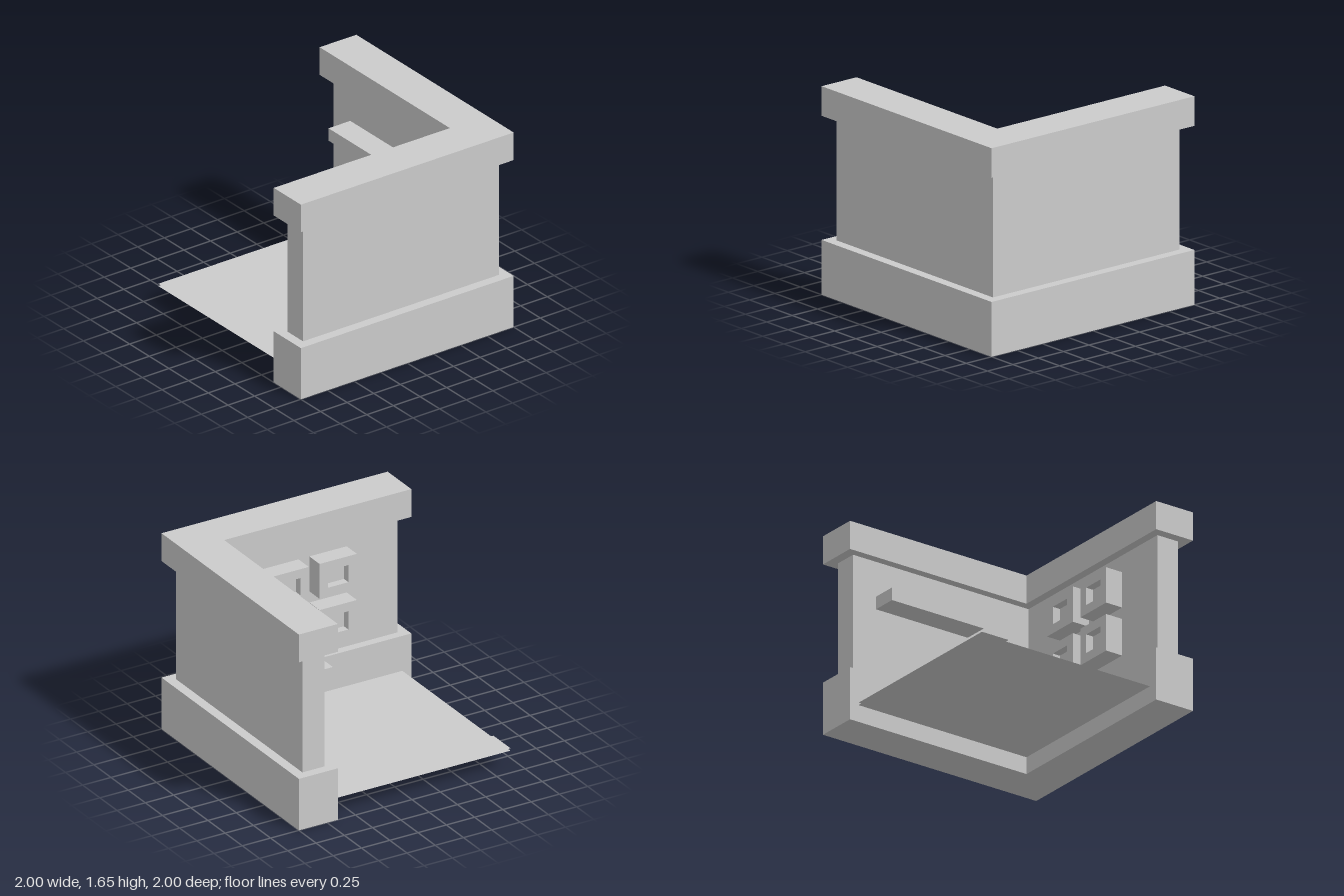
import * as THREE from 'three';

const material = new THREE.MeshStandardMaterial({ color: 0xcccccc, flatShading: true });
const sheetMaterial = new THREE.MeshStandardMaterial({ color: 0xcccccc, side: THREE.DoubleSide });

function addMesh(parent, name, geometry, mat = material) {
  const mesh = new THREE.Mesh(geometry, mat);
  mesh.name = name;
  parent.add(mesh);
  return mesh;
}

// L-shaped course running along the back and the +x side
function corner(outer, inner, y0, y1) {
  const shape = new THREE.Shape([
    [-outer, outer], [-outer, inner], [inner, inner],
    [inner, -outer], [outer, -outer], [outer, outer],
  ].map(([x, y]) => new THREE.Vector2(x, y)));
  return new THREE.ExtrudeGeometry(shape, { depth: y1 - y0, bevelEnabled: false })
    .rotateX(-Math.PI / 2).translate(0, y0, 0);
}

// Flat sheet between x and z limits at height y
function sheet(x0, x1, z0, z1, y) {
  return new THREE.PlaneGeometry(x1 - x0, z1 - z0)
    .rotateX(-Math.PI / 2).translate((x0 + x1) / 2, y, (z0 + z1) / 2);
}

// Box with a recessed opening on its -x face, standing out from the side wall
function wallNiche(z0, z1, y0, y1) {
  const group = new THREE.Group();
  const w = z1 - z0, h = y1 - y0, border = 0.075, recess = 0.065;
  const front = 0.575, back = 0.735;
  const rect = (Type, inset) => new Type([
    new THREE.Vector2(-w / 2 + inset, -h / 2 + inset), new THREE.Vector2(w / 2 - inset, -h / 2 + inset),
    new THREE.Vector2(w / 2 - inset, h / 2 - inset), new THREE.Vector2(-w / 2 + inset, h / 2 - inset),
  ]);
  const frame = rect(THREE.Shape, 0);
  frame.holes.push(rect(THREE.Path, border));
  addMesh(group, 'nicheFrame', new THREE.ExtrudeGeometry(frame, { depth: recess, bevelEnabled: false })
    .rotateY(Math.PI / 2).translate(front, 0, 0));
  const depth = back - front - recess;
  addMesh(group, 'nicheBack', new THREE.BoxGeometry(depth, h, w).translate(back - depth / 2, 0, 0));
  group.position.set(0, (y0 + y1) / 2, (z0 + z1) / 2);
  return group;
}

export function createModel() {
  const model = new THREE.Group();
  model.name = 'cornerRoom';

  // Walls with a wide base and cap
  addMesh(model, 'wallBase', corner(1, 0.655, 0, 0.435));
  addMesh(model, 'walls', corner(0.92, 0.725, 0.435, 1.42));
  addMesh(model, 'wallCap', corner(1, 0.655, 1.42, 1.655));

  // Thin floor and the strip laid along its open edge
  addMesh(model, 'floor', sheet(-0.92, 0.92, -0.92, 0.92, 0.14), sheetMaterial);
  addMesh(model, 'floorStrip', sheet(-0.92, -0.67, -0.92, 0.92, 0.16), sheetMaterial);

  // Shelf on the back wall
  addMesh(model, 'shelf', new THREE.BoxGeometry(0.86, 0.105, 0.215)
    .translate(-0.275, 1.077, -0.6275));

  // Two by two niches on the side wall
  for (const [z0, z1, bottom] of [[-0.285, 0.045, 0.575], [0.14, 0.47, 0.585]]) {
    for (const [y0, y1] of [[bottom, 0.89], [0.985, 1.28]]) {
      const niche = wallNiche(z0, z1, y0, y1);
      niche.name = 'wallNiche';
      model.add(niche);
    }
  }
  return model;
}
